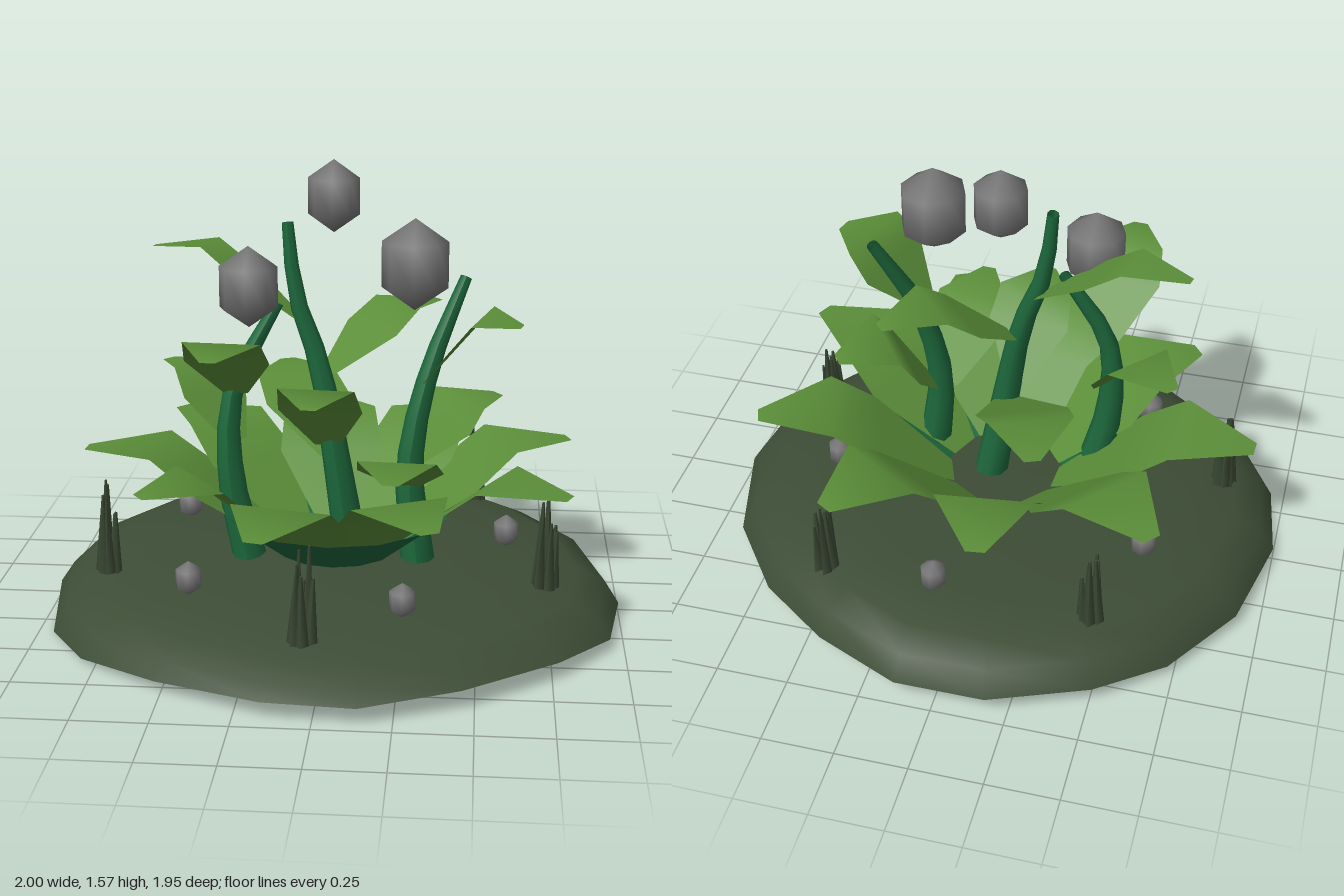
import * as THREE from 'three';

const V = (x, y, z) => new THREE.Vector3(x, y, z);
const mat = (name, color) => new THREE.MeshStandardMaterial({ name, color, side: THREE.DoubleSide });

// Builds a smooth surface from equal-length rows of points
function loft(rows, closed) {
  const n = rows[0].length, pos = [], index = [];
  rows.forEach(row => row.forEach(p => pos.push(p.x, p.y, p.z)));
  for (let i = 0; i < rows.length - 1; i++) {
    for (let j = 0; j < (closed ? n : n - 1); j++) {
      const k = (j + 1) % n, a = i * n + j, b = i * n + k;
      index.push(a, b, a + n, b, b + n, a + n);
    }
  }
  const g = new THREE.BufferGeometry();
  g.setAttribute('position', new THREE.Float32BufferAttribute(pos, 3));
  g.setIndex(index);
  g.computeVertexNormals();
  return g;
}

// Leaf that rises from base to bend, then droops to a blunt tip
function leafGeometry(base, bend, tip, width) {
  const out = tip.clone().sub(base).setY(0).normalize();
  const side = V(-out.z, 0, out.x);
  const sections = [
    [base, 0.3], [base.clone().lerp(bend, 0.62), 1], [bend, 0.9], [tip, 0.17],
  ];
  const rows = sections.map(([p, w]) => [-0.5, 0.5].map(s => p.clone().addScaledVector(side, s * w * width)));
  return loft(rows, false);
}

// Tapered, curved stalk
function stalkGeometry(points, r0, r1) {
  const curve = new THREE.CatmullRomCurve3(points), steps = 8, sides = 8;
  const g = new THREE.TubeGeometry(curve, steps, 1, sides, false);
  const p = g.attributes.position, v = V(0, 0, 0);
  for (let i = 0; i < p.count; i++) {
    const t = Math.floor(i / (sides + 1)) / steps, c = curve.getPointAt(t);
    v.fromBufferAttribute(p, i).sub(c).multiplyScalar(r0 + (r1 - r0) * t).add(c);
    p.setXYZ(i, v.x, v.y, v.z);
  }
  g.computeVertexNormals();
  return g;
}

export function createModel() {
  const model = new THREE.Group();
  const soil = mat('mossy ground', 0x3d4d36);
  const grass = mat('dark grass', 0x3c4b35);
  const stem = mat('stem green', 0x1d683c);
  const leafGreen = mat('leaf green', 0x5b8e39);
  const grey = mat('bud grey', 0x777777);
  const add = (name, geometry, material) => {
    const mesh = new THREE.Mesh(geometry, material);
    mesh.name = name;
    model.add(mesh);
    return mesh;
  };

  // Irregular mound: rim points as x, y, z
  const rim = [
    [-0.18, 0.08, -0.98], [0.13, 0.08, -0.98], [0.44, 0.06, -0.83], [0.7, 0.04, -0.63], [0.9, 0.04, -0.36],
    [1, 0.035, 0.02], [0.95, 0.04, 0.35], [0.77, 0.06, 0.59], [0.46, 0.07, 0.84], [0.14, 0.06, 0.97],
    [-0.16, 0.06, 0.95], [-0.52, 0.04, 0.79], [-0.8, 0.015, 0.59], [-0.95, 0, 0.35], [-1, 0.045, 0],
    [-0.92, 0.05, -0.37], [-0.73, 0.04, -0.65], [-0.51, 0.07, -0.84],
  ];
  const profile = [[0, 0.217], [0.4, 0.211], [0.68, 0.195], [0.85, 0.167], [0.95, 0.122], [1, 0]];
  const rows = profile.map(([f, y]) => rim.map(([x, ry, z]) =>
    V(x * f, f === 1 ? ry : y - 0.033 * z * f + (ry - 0.05) * f * f * 0.5, z * f)));
  add('ground', loft(rows, true), soil);

  // Cup holding the foot of the rosette
  add('rosetteCup', new THREE.CylinderGeometry(0.4, 0.215, 0.145, 14, 1, true), stem).position.y = 0.286;

  // Rosette of large leaves, each given by its tip x, z
  const tips = [
    [-0.1, -0.78], [0.44, -0.7], [0.82, -0.3], [0.8, 0.36], [0.35, 0.72],
    [-0.19, 0.84], [-0.62, 0.46], [-0.9, -0.05], [-0.64, -0.58],
  ];
  for (const [x, z] of tips) {
    const d = V(x, 0, z).normalize();
    const at = (r, y) => V(d.x * r, y, d.z * r);
    const reach = Math.hypot(x, z);
    add('rosetteLeaf', leafGeometry(at(0.19, 0.225), at(reach * 0.7, 0.56), at(reach, 0.54), 0.38), leafGreen);
  }

  // Three stalks
  const stalks = [
    [V(-0.3, 0.205, 0.09), V(-0.36, 0.5, 0.1), V(-0.35, 0.8, 0.08), V(-0.2, 1.1, 0.02)],
    [V(0.05, 0.21, 0), V(0, 0.55, 0.02), V(-0.06, 0.88, 0), V(-0.14, 1.12, -0.01), V(-0.17, 1.37, -0.03)],
    [V(0.29, 0.205, 0.08), V(0.26, 0.55, 0.08), V(0.32, 0.87, 0.03), V(0.44, 1.18, -0.08)],
  ];
  for (const points of stalks) add('stalk', stalkGeometry(points, 0.06, 0.02), stem);

  // Leaves on the stalks: base, bend, tip, width
  const stalkLeaves = [
    [V(-0.12, 1.03, -0.02), V(-0.45, 1.28, -0.11), V(-0.65, 1.26, -0.14), 0.2],
    [V(-0.34, 0.8, 0.1), V(-0.35, 1.04, 0.35), V(-0.37, 1.02, 0.52), 0.29],
    [V(0.31, 0.85, 0.09), V(0.5, 1.09, 0.12), V(0.63, 1.07, 0.17), 0.35],
    [V(-0.03, 0.6, 0.04), V(-0.05, 0.86, 0.25), V(-0.06, 0.84, 0.42), 0.29],
    [V(0.25, 0.48, 0.11), V(0.23, 0.67, 0.42), V(0.22, 0.66, 0.62), 0.29],
    [V(-0.03, 0.85, -0.02), V(0.2, 1.06, -0.2), V(0.34, 1.04, -0.34), 0.28],
    [V(0.27, 0.55, 0.03), V(0.42, 0.76, -0.04), V(0.56, 0.74, -0.17), 0.36],
    [V(-0.34, 0.62, 0.07), V(-0.48, 0.86, -0.08), V(-0.62, 0.84, -0.18), 0.28],
    [V(-0.01, 0.55, 0), V(-0.18, 0.76, -0.35), V(-0.23, 0.75, -0.54), 0.32],
  ];
  for (const l of stalkLeaves) add('stalkLeaf', leafGeometry(...l), leafGreen);

  // Large floating buds and small ground buds: x, y, z, radius, half height
  const buds = [
    [-0.29, 1.173, 0.1, 0.115, 0.14], [-0.02, 1.445, -0.13, 0.103, 0.127], [0.27, 1.255, 0.08, 0.13, 0.157],
  ];
  for (const [x, z] of [[-0.57, -0.29], [-0.46, 0.44], [0.26, 0.57], [0.6, -0.09], [0.09, -0.63]]) {
    buds.push([x, 0.253, z, 0.05, 0.06]);
  }
  for (const [x, y, z, r, h] of buds) {
    const bud = add(h > 0.1 ? 'bud' : 'groundBud', new THREE.SphereGeometry(1, 8, 3), grey);
    bud.position.set(x, y, z);
    bud.scale.set(r, h, r);
  }

  // Grass tufts made of pointed blades
  const tufts = [[-0.46, -0.64], [0.48, -0.61], [-0.78, 0.19], [-0.05, 0.74], [0.73, 0.22]];
  tufts.forEach(([x, z], t) => {
    const tuft = new THREE.Group();
    tuft.name = 'grassTuft';
    tuft.position.set(x, 0.17, z);
    for (let i = 0; i < 7; i++) {
      const a = i * 2.4 + t, h = 0.2 + 0.12 * ((i * 3 + t) % 7) / 6;
      const blade = new THREE.Mesh(new THREE.CylinderGeometry(0.005, 0.024, h, 4), grass);
      blade.name = 'grassBlade';
      blade.geometry.translate(0, h / 2, 0);
      blade.position.set(Math.cos(a) * 0.026, 0, Math.sin(a) * 0.026);
      blade.rotation.set(Math.sin(a) * 0.05, a, -Math.cos(a) * 0.05);
      tuft.add(blade);
    }
    model.add(tuft);
  });
  return model;
}
